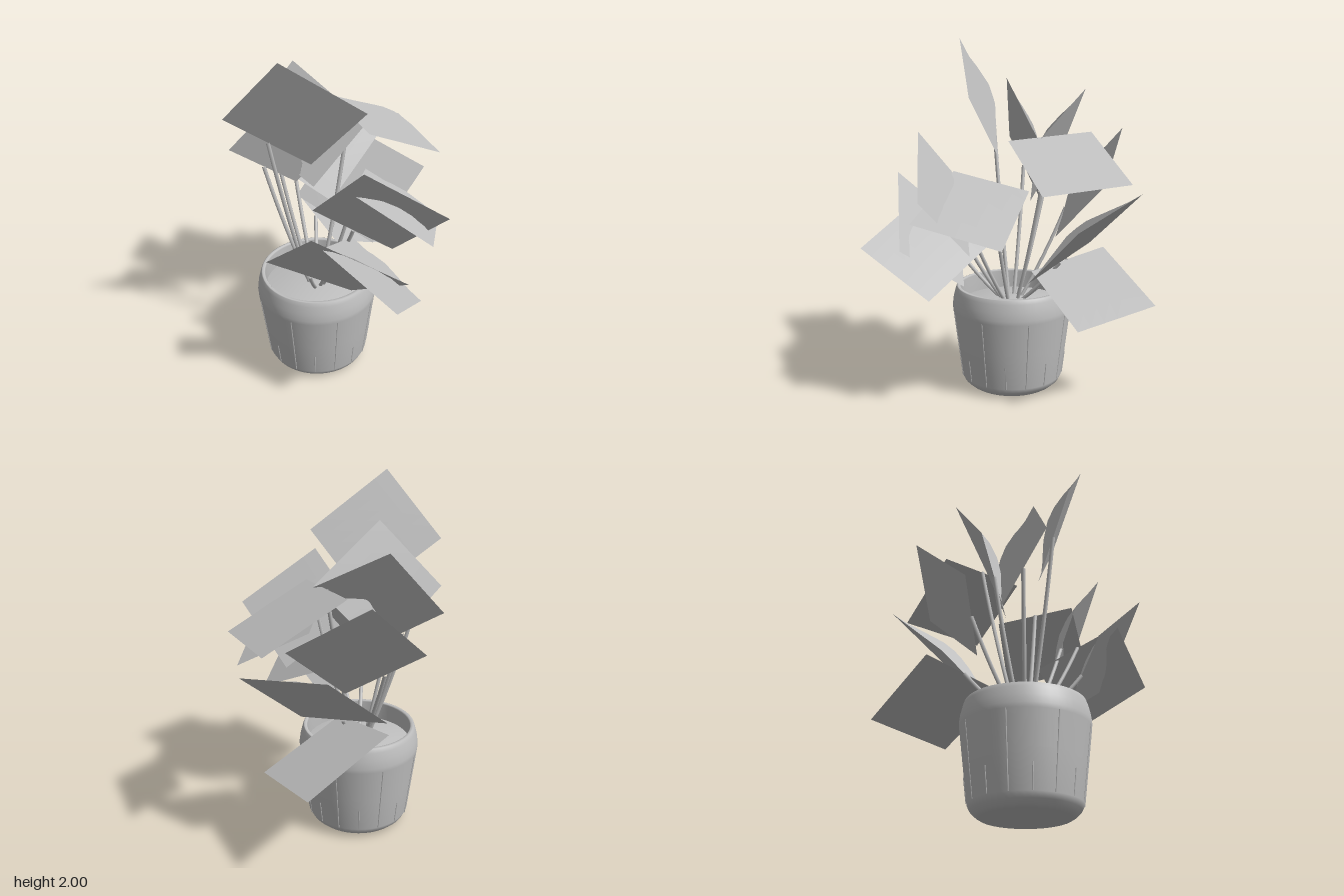
import * as THREE from 'three';

const grey = new THREE.MeshStandardMaterial({ color: 0xc0c0c0 });
grey.name = 'plain grey';
const greyThin = new THREE.MeshStandardMaterial({ color: 0xc0c0c0, side: THREE.DoubleSide });
greyThin.name = 'plain grey thin';

const POT_X = -0.125, POT_Z = 0.025;

// Four corners per leaf, going round; the stem meets the edge between the first two.
const LEAVES = [
  [[-0.57, 1.645, 0.21], [-0.14, 1.335, 0.10], [0.15, 1.69, 0.22], [-0.27, 2.0, 0.34]],
  [[-0.57, 1.41, 0.09], [-0.24, 1.10, -0.12], [0.12, 1.48, -0.14], [-0.225, 1.78, 0.065]],
  [[-0.125, 1.18, 0.305], [0.30, 0.87, 0.20], [0.57, 1.206, 0.41], [0.135, 1.51, 0.50]],
  [[-0.37, 0.90, 0.38], [0.08, 0.635, 0.27], [0.37, 0.905, 0.56], [-0.11, 1.25, 0.68]],
  [[-0.07, 1.11, 0.55], [0.08, 0.89, 0.12], [0.456, 0.665, 0.39], [0.305, 0.90, 0.79]],
  [[-0.055, 1.50, -0.42], [0.165, 1.47, 0.01], [0.57, 1.25, -0.205], [0.35, 1.28, -0.64]],
  [[0.075, 1.29, 0.32], [0.15, 1.20, -0.10], [0.56, 0.97, -0.005], [0.49, 1.08, 0.475]],
  [[0.20, 0.70, -0.10], [-0.265, 0.825, -0.42], [0.035, 1.175, -0.705], [0.50, 1.06, -0.38]],
  [[-0.27, 0.80, -0.50], [-0.015, 0.71, -0.10], [0.39, 0.505, -0.38], [0.135, 0.58, -0.79]],
  [[-0.55, 1.37, -0.245], [-0.14, 1.09, -0.08], [0.15, 1.46, -0.14], [-0.26, 1.72, -0.38]],
  [[-0.465, 1.165, -0.32], [-0.045, 0.905, -0.23], [0.25, 1.25, -0.50], [-0.17, 1.51, -0.59]],
];

// Square leaf card, arched upward in the middle and shaded with one normal
function leafGeometry(points) {
  let [a, b, c, d] = points;
  const n = new THREE.Vector3().crossVectors(c.clone().sub(a), d.clone().sub(b)).normalize();
  if (n.y < 0) {
    [b, d] = [d, b];
    n.negate();
  }
  const geo = new THREE.PlaneGeometry(2, 2, 6, 6);
  const pos = geo.attributes.position, nor = geo.attributes.normal;
  const p = new THREE.Vector3(), q = new THREE.Vector3();
  for (let i = 0; i < pos.count; i++) {
    const u = pos.getX(i), v = pos.getY(i);
    p.lerpVectors(a, b, (u + 1) / 2);
    q.lerpVectors(d, c, (u + 1) / 2);
    p.lerp(q, (v + 1) / 2);
    p.addScaledVector(n, 0.075 * Math.cos(u * Math.PI / 2) * Math.cos(v * Math.PI / 2));
    pos.setXYZ(i, p.x, p.y, p.z);
    nor.setXYZ(i, n.x, n.y, n.z);
  }
  return geo;
}

// Curved stem from the soil to the near edge of a leaf
function stemGeometry(end) {
  const dir = new THREE.Vector3(end.x - POT_X, 0, end.z - POT_Z).normalize();
  const base = new THREE.Vector3(POT_X, 0.49, POT_Z).addScaledVector(dir, 0.04);
  const mid = base.clone().lerp(end, 0.55);
  mid.y = THREE.MathUtils.lerp(base.y, end.y, 0.45);
  const curve = new THREE.QuadraticBezierCurve3(base, mid, end);
  return new THREE.TubeGeometry(curve, 8, 0.011, 6);
}

function lathe(points) {
  return new THREE.LatheGeometry(points.map(([r, y]) => new THREE.Vector2(r, y)), 48);
}

function buildPot() {
  const pot = new THREE.Group();
  pot.name = 'pot';
  pot.position.set(POT_X, 0, POT_Z);

  const wall = new THREE.Mesh(lathe([
    [0, 0], [0.235, 0], [0.255, 0.012], [0.28, 0.035], [0.295, 0.065], [0.32, 0.27],
    [0.343, 0.46], [0.345, 0.485], [0.339, 0.53], [0.328, 0.575], [0.32, 0.598],
    [0.315, 0.6], [0.302, 0.6], [0.297, 0.592], [0.297, 0.48],
  ]), greyThin);
  wall.name = 'potWall';
  pot.add(wall);

  // Gently domed soil
  const soil = new THREE.Mesh(lathe([[0.3, 0.49], [0.2, 0.51], [0.1, 0.522], [0, 0.526]]), greyThin);
  soil.name = 'soil';
  pot.add(soil);

  // Fine upright ribs, alternately short and long
  for (let i = 0; i < 16; i++) {
    const long = i % 2 === 1;
    const y0 = 0.065, y1 = long ? 0.46 : 0.2;
    const radius = y => 0.295 + (y - 0.065) * 0.1215;
    const angle = i * Math.PI / 8;
    const at = y => new THREE.Vector3(Math.sin(angle) * radius(y), y, Math.cos(angle) * radius(y));
    const rib = new THREE.Mesh(
      new THREE.TubeGeometry(new THREE.LineCurve3(at(y0), at(y1)), 1, 0.004, 5), grey);
    rib.name = long ? 'longRib' : 'shortRib';
    pot.add(rib);
  }
  return pot;
}

export function createModel() {
  const model = new THREE.Group();
  model.name = 'pottedPlant';
  model.add(buildPot());

  for (const corners of LEAVES) {
    const points = corners.map(c => new THREE.Vector3(...c));
    const leaf = new THREE.Mesh(leafGeometry(points), greyThin);
    leaf.name = 'leaf';
    const stem = new THREE.Mesh(stemGeometry(points[0].clone().lerp(points[1], 0.5)), grey);
    stem.name = 'stem';
    model.add(leaf, stem);
  }
  return model;
}
